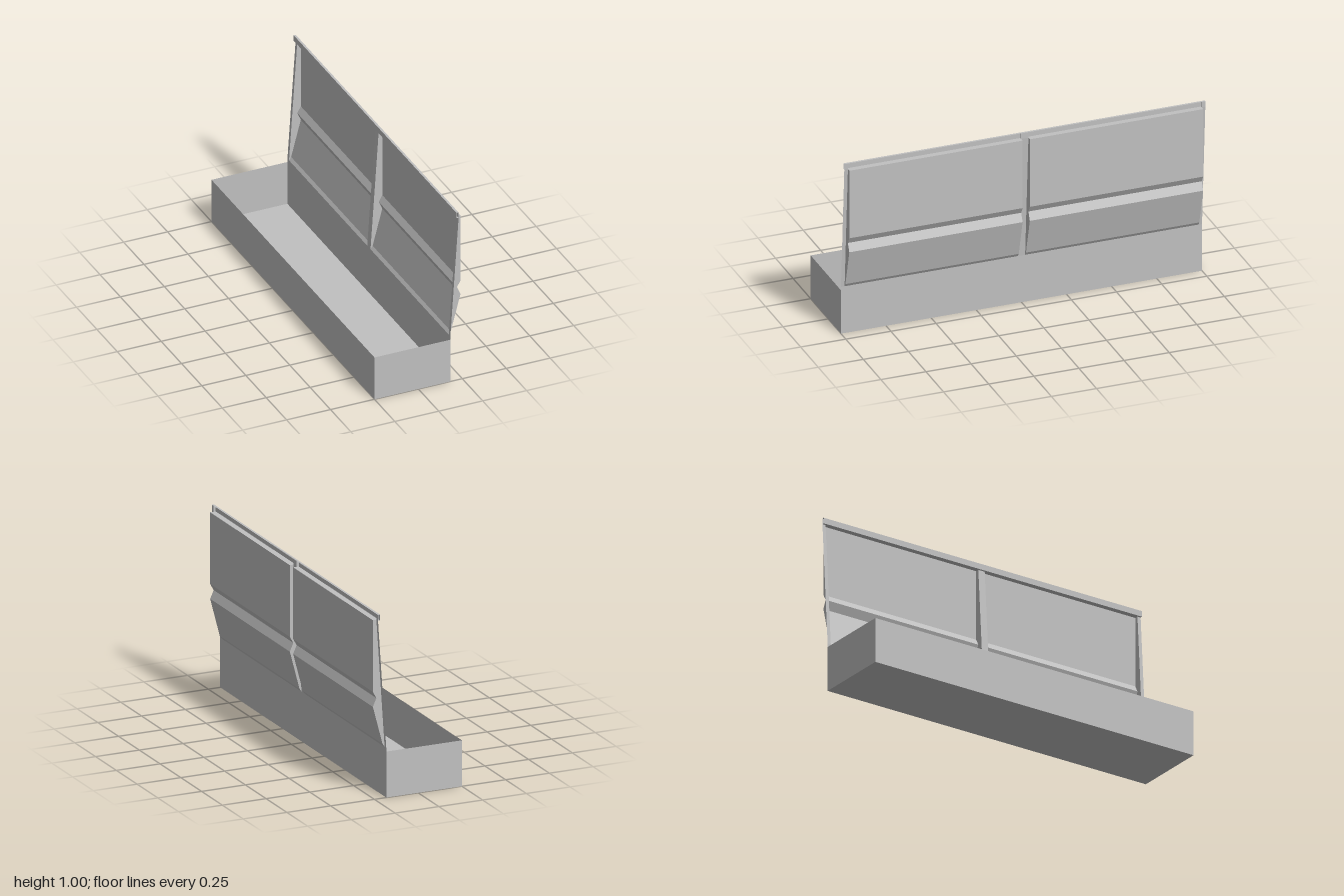
import * as THREE from 'three';

const metal = new THREE.MeshStandardMaterial({ color: 0xc0c0c0, side: THREE.DoubleSide });
metal.name = 'grey sheet metal';

// Folded sheet: an open x,y profile swept from z0 to z1
function sheet(name, profile, z0, z1) {
  const pos = [];
  for (let i = 0; i < profile.length - 1; i++) {
    const [ax, ay] = profile[i], [bx, by] = profile[i + 1];
    pos.push(ax, ay, z1, ax, ay, z0, bx, by, z0);
    pos.push(ax, ay, z1, bx, by, z0, bx, by, z1);
  }
  const geo = new THREE.BufferGeometry();
  geo.setAttribute('position', new THREE.Float32BufferAttribute(pos, 3));
  geo.computeVertexNormals();
  const mesh = new THREE.Mesh(geo, metal);
  mesh.name = name;
  return mesh;
}

// Flat plate in the x,y plane
function plate(name, outline, z) {
  const shape = new THREE.Shape(outline.map(([x, y]) => new THREE.Vector2(x, y)));
  const mesh = new THREE.Mesh(new THREE.ShapeGeometry(shape), metal);
  mesh.name = name;
  mesh.position.z = z;
  return mesh;
}

export function createModel() {
  const model = new THREE.Group();
  model.name = 'trayWithPanelledBack';

  const wallX = 0.182, wallTop = 0.27, panelTop = 0.968;
  const railIn = 0.217, railOut = 0.229;

  // Open tray: three-sided channel closed at both ends
  model.add(sheet('tray', [[-0.25, 0.25], [-0.25, 0], [wallX, 0], [wallX, wallTop]], -1, 1));
  for (const z of [-1, 1]) {
    model.add(plate('trayEnd', [[-0.25, 0], [wallX, 0], [wallX, 0.25], [-0.25, 0.25]], z));
  }

  // Pressed panels, open towards the tray
  const panel = [
    [wallX, wallTop], [0.194, 0.288], [0.249, 0.497], [0.229, 0.542],
    [0.249, 0.578], [0.249, panelTop], [railOut, panelTop],
  ];
  const rail = [[railIn, panelTop], [railOut, panelTop], [railOut, 1], [railIn, 1]];
  for (const [z0, z1] of [[-0.98, -0.02], [0.02, 0.98]]) {
    model.add(sheet('backPanel', panel, z0, z1));
    for (const z of [z0, z1]) {
      model.add(plate('panelSide', panel, z));
      model.add(plate('railSide', rail, z));
    }
  }

  // Slanted posts beside and between the panels, running up to the rail
  for (const [z0, z1] of [[-1, -0.98], [-0.02, 0.02], [0.98, 1]]) {
    model.add(sheet('post', [[wallX, wallTop], [railOut, panelTop], [railOut, 1]], z0, z1));
  }

  // Top rail: channel open to the outside
  model.add(sheet('topRail', [[railOut, panelTop], [railIn, panelTop], [railIn, 1], [railOut, 1]], -1, 1));

  return model;
}
